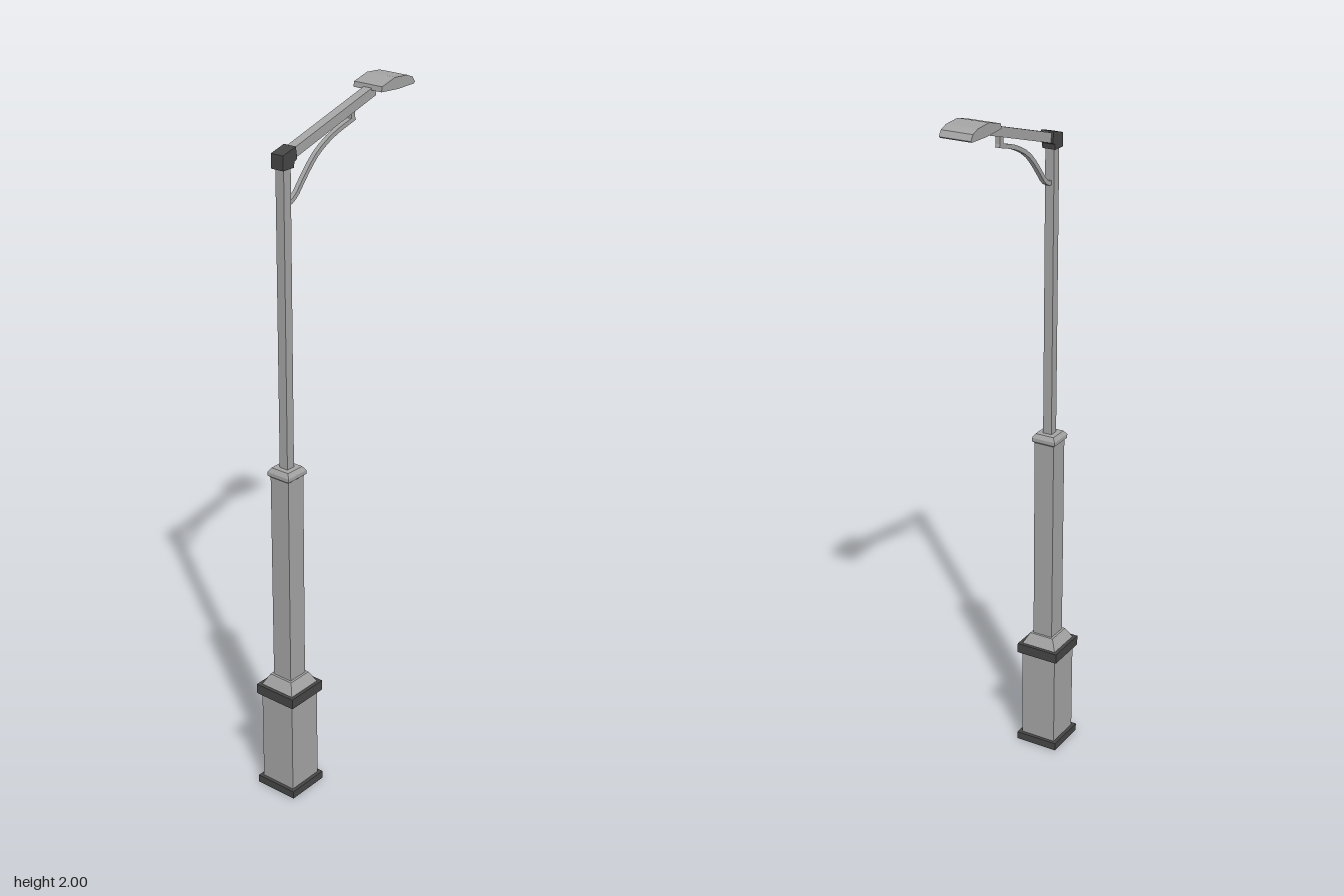
import * as THREE from 'three';

const steel = new THREE.MeshStandardMaterial({ color: 0xa3a3a3 });
steel.name = 'light grey steel';
const iron = new THREE.MeshStandardMaterial({ color: 0x454545 });
iron.name = 'dark grey iron';

const POLE_Z = 0.206;

export function createModel() {
  const model = new THREE.Group();
  model.name = 'streetLamp';

  const add = (name, geometry, material) => {
    const mesh = new THREE.Mesh(geometry, material);
    mesh.name = name;
    model.add(mesh);
    return mesh;
  };

  // Square section centred on the pole, tapering from half-width a to b
  const square = (name, a, b, y0, y1, material) => {
    const g = new THREE.CylinderGeometry(b * Math.SQRT2, a * Math.SQRT2, y1 - y0, 4)
      .rotateY(Math.PI / 4).toNonIndexed();
    g.computeVertexNormals();
    return add(name, g.translate(0, (y0 + y1) / 2, POLE_Z), material);
  };

  // Side profile of [z, y] points, extruded across x
  const profile = (name, points, halfWidth, material) => {
    const shape = new THREE.Shape(points.map(([z, y]) => new THREE.Vector2(-z, y)));
    const g = new THREE.ExtrudeGeometry(shape, { depth: halfWidth * 2, bevelEnabled: false })
      .translate(0, 0, -halfWidth).rotateY(Math.PI / 2);
    return add(name, g, material);
  };

  // Plinth: open dark foot frame, box, dark rim and sloped cap
  const s = 0.0655, h = 0.046;
  const frame = new THREE.Shape([[-s, -s], [s, -s], [s, s], [-s, s]].map(p => new THREE.Vector2(...p)));
  frame.holes.push(new THREE.Path([[-h, -h], [-h, h], [h, h], [h, -h]].map(p => new THREE.Vector2(...p))));
  add('footFrame', new THREE.ExtrudeGeometry(frame, { depth: 0.023, bevelEnabled: false })
    .rotateX(-Math.PI / 2).translate(0, 0, POLE_Z), iron);
  square('plinthBox', 0.055, 0.055, 0.003, 0.31, steel);
  square('plinthRim', s, s, 0.305, 0.335, iron);
  square('plinthCap', 0.055, 0.038, 0.335, 0.367, steel);

  // Two-stage pole with a collar at the step
  square('lowerPole', 0.031, 0.031, 0.36, 0.995, steel);
  square('collarUnderside', 0.031, 0.037, 0.988, 0.993, steel);
  square('collarBand', 0.037, 0.037, 0.993, 1.004, steel);
  square('collarTop', 0.037, 0.029, 1.004, 1.016, steel);
  square('upperPole', 0.0135, 0.0135, 1.01, 1.86, steel);

  // Dark elbow joining pole and arm
  profile('elbow', [[0.228, 1.842], [0.187, 1.842], [0.185, 1.857], [0.174, 1.862],
    [0.179, 1.894], [0.228, 1.881]], 0.0195, iron);

  // Rising arm
  profile('arm', [[0.2, 1.855], [-0.15, 1.956], [-0.15, 1.983], [0.2, 1.883]], 0.0135, steel);

  // Curved brace of constant thickness below the arm
  const curve = new THREE.CatmullRomCurve3([[0.187, 1.749], [0.166, 1.759], [0.123, 1.807],
    [0.076, 1.852], [0.012, 1.886], [-0.073, 1.911]].map(([z, y]) => new THREE.Vector3(0, y, z)));
  const upper = [], lower = [];
  for (let i = 0; i <= 12; i++) {
    const p = curve.getPoint(i / 12), t = curve.getTangent(i / 12);
    upper.push([p.z + t.y * 0.006, p.y - t.z * 0.006]);
    lower.unshift([p.z - t.y * 0.006, p.y + t.z * 0.006]);
  }
  profile('brace', [...lower, ...upper], 0.0065, steel);
  add('braceArmMount', new THREE.BoxGeometry(0.013, 0.034, 0.016).translate(0, 1.924, -0.064), steel);
  add('bracePoleMount', new THREE.BoxGeometry(0.013, 0.012, 0.022).translate(0, 1.75, 0.19), steel);

  // Faceted lamp head
  profile('lampHead', [[-0.13, 1.972], [-0.133, 1.986], [-0.187, 2.0], [-0.24, 1.996],
    [-0.263, 1.987], [-0.273, 1.972], [-0.268, 1.968], [-0.2, 1.967]], 0.046, steel);

  return model;
}
